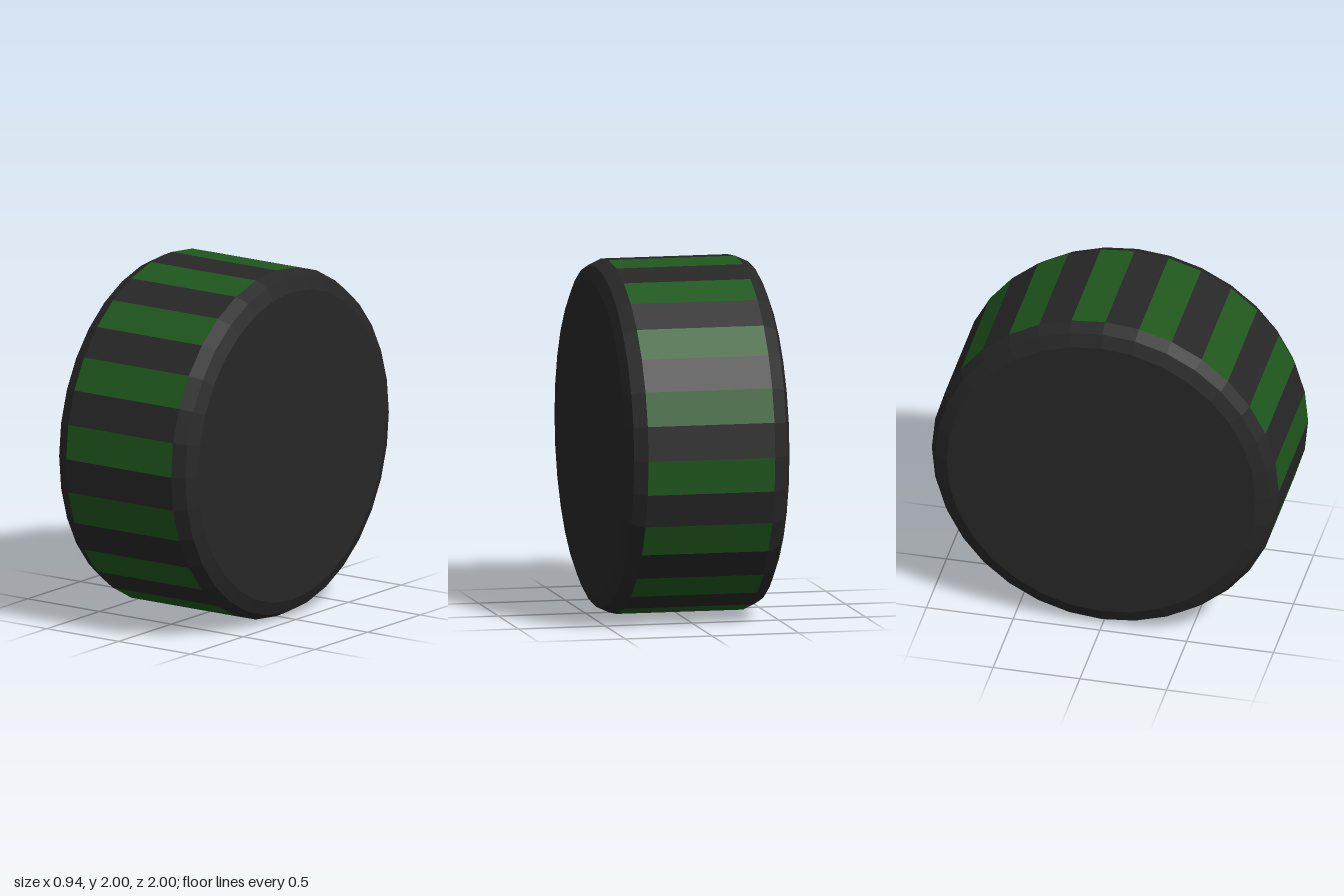
import * as THREE from 'three';
import { mergeGeometries } from 'three/addons/utils/BufferGeometryUtils.js';

const SIDES = 32;
const STEP = (Math.PI * 2) / SIDES;
const TREAD_HALF = 0.365;

// One flat facet of the tread, with the wheel axis along x
function facet(k) {
  return new THREE.CylinderGeometry(1, 1, TREAD_HALF * 2, 1, 1, true, -(k + 1) * STEP, STEP)
    .rotateZ(-Math.PI / 2);
}

export function createModel() {
  const wheel = new THREE.Group();
  wheel.name = 'wheel';
  wheel.position.y = 1;

  const rubber = new THREE.MeshStandardMaterial({ color: 0x272727, flatShading: true });
  const green = new THREE.MeshStandardMaterial({ color: 0x1f571d, flatShading: true });

  const add = (name, geometry, material) => {
    const mesh = new THREE.Mesh(geometry, material);
    mesh.name = name;
    wheel.add(mesh);
    return mesh;
  };

  // Tread: alternating green and dark facets
  const greenFacets = [];
  const darkFacets = [];
  for (let k = 0; k < SIDES; k++) (k % 2 ? darkFacets : greenFacets).push(facet(k));
  add('greenTreadStripes', mergeGeometries(greenFacets), green);
  add('darkTreadStripes', mergeGeometries(darkFacets), rubber);

  // Bevelled shoulder and flat side wall, mirrored to both sides
  const profile = [[1, TREAD_HALF], [0.965, 0.44], [0.89, 0.472], [0, 0.472]]
    .map(([r, h]) => new THREE.Vector2(r, h));
  const sideWall = new THREE.LatheGeometry(profile, SIDES).rotateZ(-Math.PI / 2);
  add('leftSideWall', sideWall, rubber);
  add('rightSideWall', sideWall, rubber).rotation.y = Math.PI;

  const model = new THREE.Group();
  model.add(wheel);
  return model;
}
